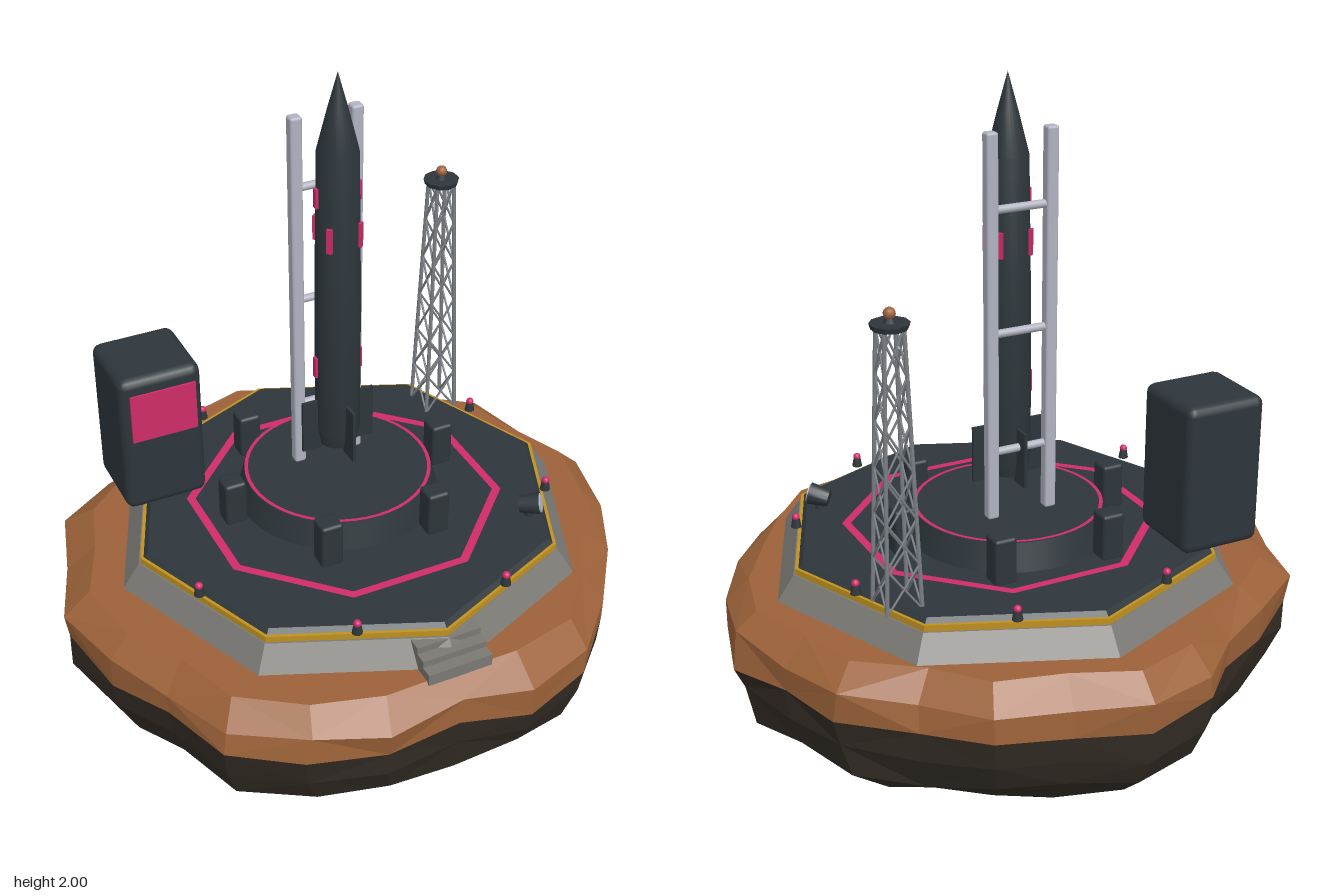
import * as THREE from 'three';
import { toCreasedNormals } from 'three/addons/utils/BufferGeometryUtils.js';
import { RoundedBoxGeometry } from 'three/addons/geometries/RoundedBoxGeometry.js';

const mat = (name, color) => Object.assign(new THREE.MeshStandardMaterial({ color }), { name });

export function createModel() {
  const clay = mat('clay rock', 0x9c6239);
  const soil = mat('dark soil', 0x332c24);
  const concrete = mat('concrete', 0x7b7974);
  const dark = mat('dark slate', 0x2d363b);
  const pink = mat('signal pink', 0xcf2c68);
  const yellow = mat('hazard yellow', 0xc0911f);
  const silver = mat('rail silver', 0xb0b3c0);
  const steel = mat('tower steel', 0x7d8187);

  const root = new THREE.Group();
  root.name = 'launchIsland';
  const group = (name, x = 0, y = 0, z = 0, parent = root) => {
    const g = new THREE.Group();
    g.name = name;
    g.position.set(x, y, z);
    parent.add(g);
    return g;
  };
  const add = (name, geo, material, x = 0, y = 0, z = 0, parent = root) => {
    const m = new THREE.Mesh(geo, material);
    m.name = name;
    m.position.set(x, y, z);
    parent.add(m);
    return m;
  };
  const flat = (geo) => {
    const g = geo.index ? geo.toNonIndexed() : geo;
    g.computeVertexNormals();
    return g;
  };
  const rounded = (w, h, d, r) => new RoundedBoxGeometry(w, h, d, 2, r);
  // cylinder bar between two points
  const bar = (name, a, b, r, material, parent, sides = 6) => {
    const dir = b.clone().sub(a);
    const m = add(name, new THREE.CylinderGeometry(r, r, dir.length(), sides), material, 0, 0, 0, parent);
    m.position.copy(a).add(b).multiplyScalar(0.5);
    m.quaternion.setFromUnitVectors(new THREE.Vector3(0, 1, 0), dir.normalize());
    return m;
  };

  // Floating rock: outline radii every 15 degrees from +x towards +z
  const outline = [0.895, 0.87, 0.85, 0.855, 0.9, 0.87, 0.825, 0.87, 0.89, 0.91, 0.85, 0.87,
    0.89, 0.84, 0.86, 0.79, 0.765, 0.84, 0.87, 0.815, 0.84, 0.8, 0.87, 0.85];
  const n = outline.length;
  let seed = 7;
  const rand = () => (seed = (seed * 16807) % 2147483647) / 2147483647 - 0.5;
  const ring = (y, f, jr, jy) => outline.map((r, i) => {
    const a = (i / n) * Math.PI * 2 + rand() * jr;
    const s = r * (f + rand() * jr);
    return [Math.cos(a) * s, Math.max(0, y + rand() * jy), Math.sin(a) * s];
  });
  const seam = ring(0.37, 0.985, 0.03, 0.05);
  const rockShell = (rings, cap) => {
    const p = [];
    for (let k = 0; k < rings.length - 1; k++) {
      for (let i = 0; i < n; i++) {
        const j = (i + 1) % n;
        const [a, b, c, d] = [rings[k][i], rings[k][j], rings[k + 1][j], rings[k + 1][i]];
        if ((i + k) % 2) p.push(...a, ...d, ...c, ...a, ...c, ...b);
        else p.push(...a, ...d, ...b, ...b, ...d, ...c);
      }
    }
    const top = cap === 'top';
    const edge = top ? rings[rings.length - 1] : rings[0];
    const mid = [0, edge[0][1], 0];
    for (let i = 0; i < n; i++) {
      const j = (i + 1) % n;
      p.push(...mid, ...edge[top ? j : i], ...edge[top ? i : j]);
    }
    const g = new THREE.BufferGeometry();
    g.setAttribute('position', new THREE.Float32BufferAttribute(p, 3));
    return flat(g);
  };
  add('rockUnderside', rockShell([ring(0, 0.6, 0.05, 0), ring(0.07, 0.77, 0.05, 0.03),
    ring(0.17, 0.91, 0.04, 0.05), ring(0.28, 0.97, 0.03, 0.04), seam], 'bottom'), soil);
  add('rockTop', rockShell([seam, ring(0.46, 0.985, 0.02, 0.03), ring(0.527, 0.895, 0.03, 0)], 'top'), clay);

  // Octagonal pad
  const pad = group('pad', 0.02, 0, 0.02);
  const octagon = (name, top, bottom, y0, y1, m) =>
    add(name, flat(new THREE.CylinderGeometry(top, bottom, y1 - y0, 8)), m, 0, (y0 + y1) / 2, 0, pad);
  octagon('padFoundation', 0.668, 0.725, 0.52, 0.6, concrete);
  octagon('hazardBand', 0.662, 0.662, 0.597, 0.619, yellow);
  octagon('padDeck', 0.638, 0.656, 0.615, 0.632, dark);
  const deckLine = new THREE.RingGeometry(0.453, 0.48, 8).rotateZ(Math.PI / 8).rotateX(-Math.PI / 2);
  add('deckMarking', deckLine, pink, 0, 0.636, 0, pad);

  // Edge lamps
  for (let i = 0; i < 8; i++) {
    const a = (i + 0.5) * Math.PI / 4;
    const lamp = group('edgeLamp', Math.cos(a) * 0.617, 0.63, Math.sin(a) * 0.617, pad);
    add('lampBase', new THREE.CylinderGeometry(0.011, 0.016, 0.028, 10), dark, 0, 0.014, 0, lamp);
    add('lampBulb', new THREE.SphereGeometry(0.012, 10, 8), pink, 0, 0.032, 0, lamp);
  }

  // Front steps
  for (let i = 0; i < 3; i++) {
    const depth = 0.16 - i * 0.035;
    const top = 0.555 + i * 0.021;
    add('step', new THREE.BoxGeometry(0.2, top - 0.5, depth), concrete, 0.02, (top + 0.5) / 2, 0.6 + depth / 2);
  }

  // Round launch table with hold-down blocks
  const table = group('launchTable', 0.02, 0, -0.028);
  add('tableDrum', toCreasedNormals(new THREE.CylinderGeometry(0.285, 0.31, 0.09, 40), 0.6), dark, 0, 0.67, 0, table);
  add('tableRing', new THREE.RingGeometry(0.273, 0.284, 48).rotateX(-Math.PI / 2), pink, 0, 0.718, 0, table);
  for (let i = 0; i < 6; i++) {
    const a = i * Math.PI / 3;
    add('holdDownBlock', rounded(0.068, 0.145, 0.068, 0.01), dark,
      Math.cos(a) * 0.346, 0.698, Math.sin(a) * 0.346, table);
  }

  // Rocket
  const rocket = group('rocket', 0.02, 0, -0.028);
  const profile = [[0, 0.815], [0.056, 0.815], [0.067, 0.87], [0.067, 1.3], [0.06, 1.77], [0.03, 1.89], [0, 2]]
    .map(([x, y]) => new THREE.Vector2(x, y));
  add('rocketBody', toCreasedNormals(new THREE.LatheGeometry(profile, 24), 0.4), dark, 0, 0, 0, rocket);
  for (let i = 0; i < 4; i++) {
    const side = group('rocketSide', 0, 0, 0, rocket);
    side.rotation.y = i * Math.PI / 2;
    add('fin', new THREE.BoxGeometry(0.065, 0.17, 0.01), dark, 0.083, 0.887, 0, side);
    const quarter = group('bodyStripe', 0, 0, 0, side);
    quarter.rotation.y = Math.PI / 4;
    add('stripe', new THREE.BoxGeometry(0.009, 0.075, 0.016), pink, 0.068, 1.525, 0, quarter);
  }
  for (const s of [-1, 1]) {
    add('upperMark', new THREE.BoxGeometry(0.009, 0.058, 0.016), pink, s * 0.066, 1.64, 0, rocket);
    add('lowerMark', new THREE.BoxGeometry(0.009, 0.065, 0.016), pink, s * 0.071, 1.09, 0, rocket);
  }

  // Service rails behind the rocket
  const rails = group('serviceRails', 0.02, 0, -0.107);
  for (const s of [-1, 1]) {
    add('rail', rounded(0.036, 1.145, 0.036, 0.008), silver, s * 0.093, 1.286, 0, rails);
  }
  for (const y of [0.92, 1.28, 1.64]) {
    bar('railRung', new THREE.Vector3(-0.093, y, 0), new THREE.Vector3(0.093, y, 0), 0.012, silver, rails, 10);
  }

  // Control building with screen
  add('controlBuilding', rounded(0.256, 0.46, 0.256, 0.028), dark, -0.472, 0.857, -0.316);
  add('buildingScreen', new THREE.BoxGeometry(0.204, 0.16, 0.009), pink, -0.469, 0.957, -0.186);

  // Lattice tower
  const tower = group('latticeTower', 0.508, 0, -0.317);
  const corner = (i, t) => {
    const w = 0.052 - 0.024 * t;
    return new THREE.Vector3(i % 4 === 0 || i % 4 === 3 ? w : -w, 0.625 + 0.81 * t, i % 4 < 2 ? w : -w);
  };
  const bays = 6;
  for (let i = 0; i < 4; i++) {
    bar('towerLeg', corner(i, 0), corner(i, 1), 0.006, steel, tower);
    for (let k = 0; k < bays; k++) {
      bar('towerBrace', corner(i, k / bays), corner(i + 1, (k + 1) / bays), 0.0035, steel, tower, 5);
      bar('towerBrace', corner(i + 1, k / bays), corner(i, (k + 1) / bays), 0.0035, steel, tower, 5);
    }
  }
  add('towerCap', flat(new THREE.CylinderGeometry(0.055, 0.05, 0.016, 10)), dark, 0, 1.438, 0, tower);
  add('beaconStem', new THREE.CylinderGeometry(0.012, 0.018, 0.016, 10), dark, 0, 1.452, 0, tower);
  add('beacon', new THREE.SphereGeometry(0.017, 12, 10), clay, 0, 1.471, 0, tower);

  // Floodlight on the deck
  const flood = group('floodlight', 0.48, 0.672, 0.345);
  add('floodStand', new THREE.CylinderGeometry(0.01, 0.016, 0.05, 8), dark, 0, -0.02, 0, flood);
  const head = group('floodHead', 0, 0, 0, flood);
  head.quaternion.setFromUnitVectors(new THREE.Vector3(0, 1, 0), new THREE.Vector3(0.75, 0.2, 0.55).normalize());
  add('floodHousing', toCreasedNormals(new THREE.CylinderGeometry(0.034, 0.026, 0.062, 16), 0.6), dark, 0, 0, 0, head);
  add('floodLens', new THREE.CylinderGeometry(0.029, 0.029, 0.006, 16), silver, 0, 0.032, 0, head);

  return root;
}
